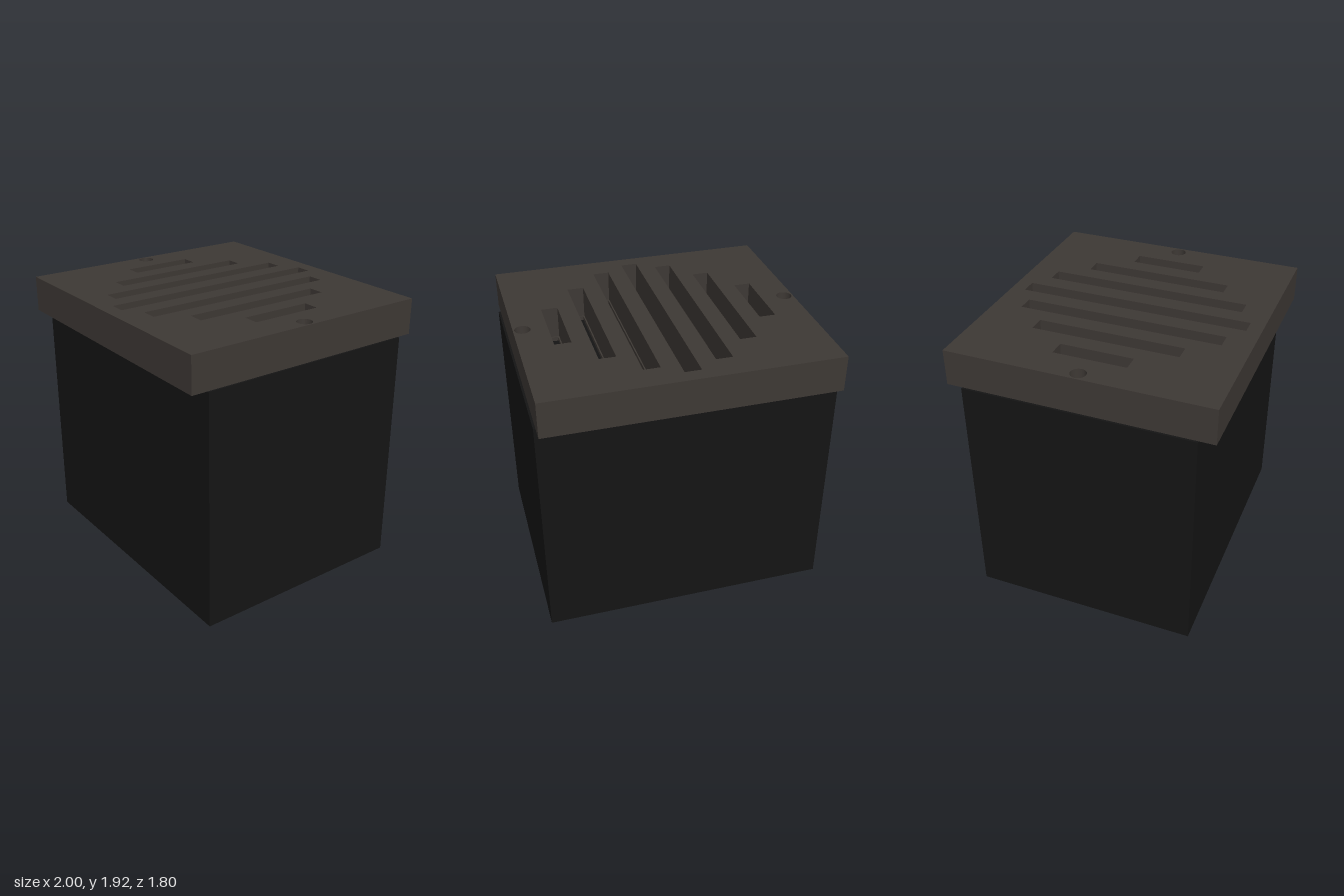
import * as THREE from 'three';

const BODY_TOP = 1.67, LID_TOP = 1.92, LEDGE = 0.03;

// [x, half length] of each vent slot
const SLOTS = [[0, 0.8]];
for (const [x, h] of [[0.235, 0.705], [0.467, 0.505], [0.7, 0.25]]) SLOTS.push([x, h], [-x, h]);

function rect(target, x, hw, hl) {
  target.moveTo(x - hw, -hl);
  target.lineTo(x + hw, -hl);
  target.lineTo(x + hw, hl);
  target.lineTo(x - hw, hl);
  target.closePath();
  return target;
}

// Slab with vent slots and two screw holes, lying flat from y0 to y1
function lidLayer(name, y0, y1, inset, material) {
  const shape = rect(new THREE.Shape(), 0, 0.985, 0.9);
  for (const [x, h] of SLOTS) shape.holes.push(rect(new THREE.Path(), x, 0.056 - inset, h - inset));
  for (const x of [-0.922, 0.922]) {
    shape.holes.push(new THREE.Path().absarc(x, 0, 0.053, 0, Math.PI * 2, true));
  }
  const geo = new THREE.ExtrudeGeometry(shape, { depth: y1 - y0, bevelEnabled: false, curveSegments: 16 });
  geo.rotateX(-Math.PI / 2);
  const mesh = new THREE.Mesh(geo, material);
  mesh.position.y = y0;
  mesh.name = name;
  return mesh;
}

export function createModel() {
  const group = new THREE.Group();
  group.name = 'ventedBox';
  const black = new THREE.MeshStandardMaterial({ color: 0x141414 });
  const brown = new THREE.MeshStandardMaterial({ color: 0x3d3834 });

  // Plain box body
  const body = new THREE.Mesh(new THREE.BoxGeometry(2, BODY_TOP, 1.58), black);
  body.position.y = BODY_TOP / 2;
  body.name = 'body';
  group.add(body);

  // Lid: the slots narrow to a small ledge at the bottom
  const lid = new THREE.Group();
  lid.name = 'lid';
  lid.add(lidLayer('lidLedge', BODY_TOP, BODY_TOP + LEDGE, 0.009, brown));
  lid.add(lidLayer('lidPlate', BODY_TOP + LEDGE, LID_TOP, 0, brown));
  group.add(lid);

  return group;
}
